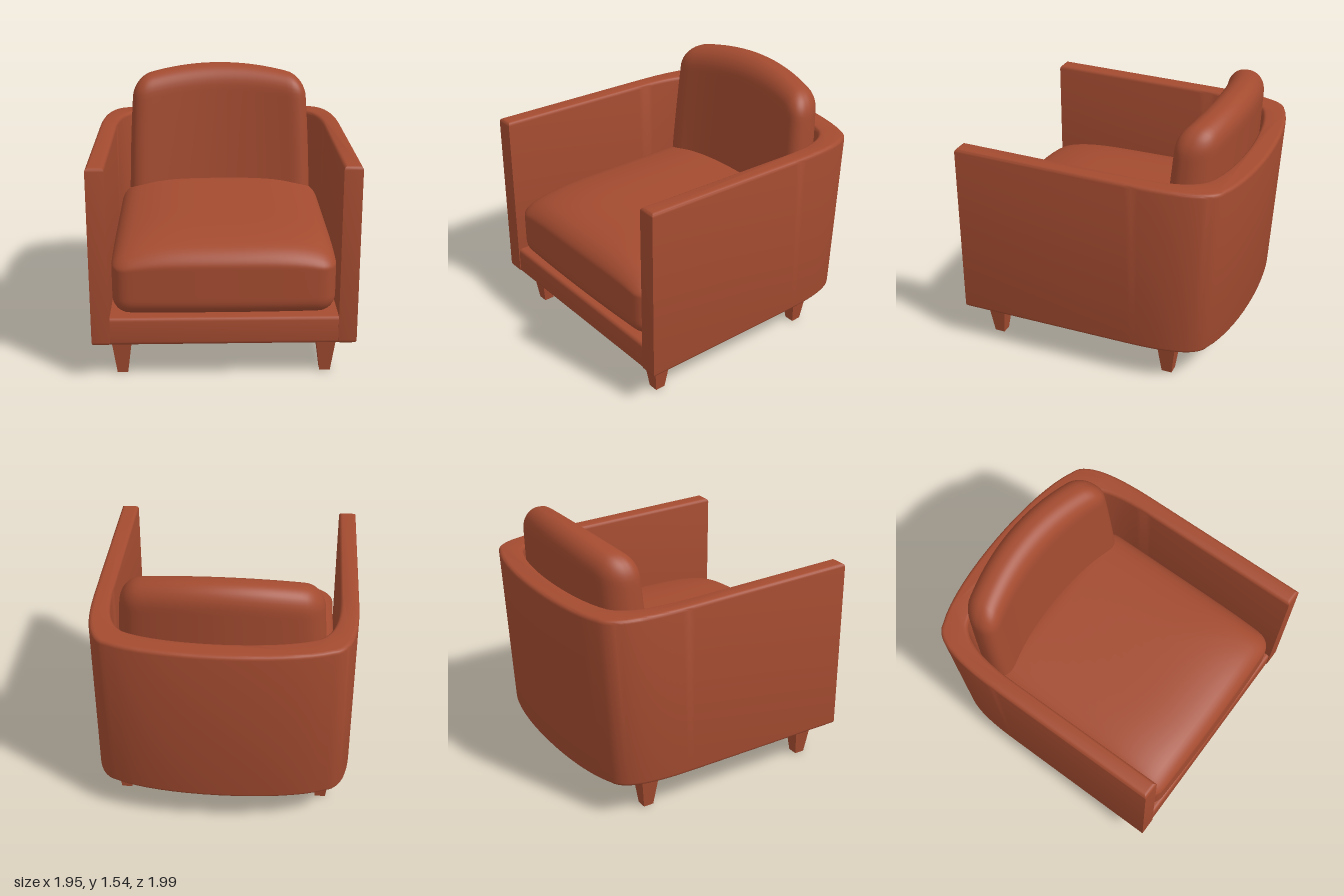
import * as THREE from 'three';
import { mergeVertices, toCreasedNormals } from 'three/addons/utils/BufferGeometryUtils.js';

const FLOOR = 0.22; // underside of the upholstered body

// Moves every vertex of a geometry by a rule
function deform(geometry, rule) {
  const p = geometry.attributes.position;
  const v = new THREE.Vector3();
  for (let i = 0; i < p.count; i++) {
    v.fromBufferAttribute(p, i);
    rule(v);
    p.setXYZ(i, v.x, v.y, v.z);
  }
  return geometry;
}

// Extrudes a plan outline (x, -z) upward with softened edges
function slab(shape, y0, y1, bevel) {
  const g = new THREE.ExtrudeGeometry(shape, {
    depth: y1 - y0 - 2 * bevel, bevelThickness: bevel, bevelSize: bevel,
    bevelOffset: -bevel, bevelSegments: 4, curveSegments: 16,
  });
  g.rotateX(-Math.PI / 2);
  g.translate(0, y0 + bevel, 0);
  return g;
}

// Backrest leans outward with height; the rim drops slightly to the rear
function leanBody(v) {
  const t = (v.y - FLOOR) / 1.02;
  const rear = THREE.MathUtils.clamp((-v.z - 0.3) / 0.5, 0, 1);
  if (v.y > 0.7) v.y += 0.016 * v.z / 0.7;
  v.z += 0.055 * (1 - t) * rear;
}

// Rounded cushion; rule receives the vertex plus its -1..1 coordinates
function cushion(w, h, d, r, rule) {
  let g = new THREE.BoxGeometry(2, 2, 2, 32, 32, 32);
  g.deleteAttribute('normal');
  g.deleteAttribute('uv');
  g = mergeVertices(g);
  const half = new THREE.Vector3(w / 2, h / 2, d / 2);
  const core = new THREE.Vector3();
  deform(g, (v) => {
    for (const a of ['x', 'y', 'z']) {
      v[a] = Math.sin(v[a] * Math.PI / 2) * half[a];
      core[a] = THREE.MathUtils.clamp(v[a], r - half[a], half[a] - r);
    }
    v.sub(core).normalize().multiplyScalar(r).add(core);
    rule(v, v.x / half.x, v.y / half.y, v.z / half.z);
  });
  g.computeVertexNormals();
  return g;
}

export function createModel() {
  const leather = new THREE.MeshStandardMaterial({ color: 0xa34b30 });
  leather.name = 'russet leather';

  const model = new THREE.Group();
  model.name = 'armchair';
  const chair = new THREE.Group();
  chair.name = 'turnedChair';
  chair.rotation.y = Math.PI / 6;
  chair.position.set(-0.013, 0, 0.006);
  model.add(chair);

  const add = (name, geometry) => {
    const m = new THREE.Mesh(geometry, leather);
    m.name = name;
    chair.add(m);
    return m;
  };

  // Arms and back: one wrapped wall
  const wall = new THREE.Shape();
  wall.moveTo(0.74, -0.71);
  wall.lineTo(0.74, 0.3);
  wall.bezierCurveTo(0.74, 0.5, 0.73, 0.78, 0.6, 0.81);
  wall.bezierCurveTo(0.35, 0.93, -0.35, 0.93, -0.6, 0.81);
  wall.bezierCurveTo(-0.73, 0.78, -0.74, 0.5, -0.74, 0.3);
  wall.lineTo(-0.74, -0.71);
  wall.lineTo(-0.637, -0.71);
  wall.lineTo(-0.637, 0.25);
  wall.bezierCurveTo(-0.637, 0.45, -0.62, 0.62, -0.52, 0.69);
  wall.bezierCurveTo(-0.3, 0.8, 0.3, 0.8, 0.52, 0.69);
  wall.bezierCurveTo(0.62, 0.62, 0.637, 0.45, 0.637, 0.25);
  wall.lineTo(0.637, -0.71);
  wall.closePath();
  add('armsAndBack', toCreasedNormals(deform(slab(wall, FLOOR, 1.24, 0.022), leanBody), 0.6));

  // Base panel under the seat
  const floor = new THREE.Shape();
  floor.moveTo(0.66, -0.705);
  floor.lineTo(0.66, 0.5);
  floor.lineTo(0.5, 0.72);
  floor.lineTo(-0.5, 0.72);
  floor.lineTo(-0.66, 0.5);
  floor.lineTo(-0.66, -0.705);
  floor.closePath();
  add('base', toCreasedNormals(slab(floor, FLOOR, 0.385, 0.022), 0.6));

  // Seat cushion: top falls away to the front and sides
  const seat = add('seatCushion', cushion(1.25, 0.44, 1.27, 0.1, (v, a, b, c) => {
    const top = Math.max(0, b);
    v.y -= top * (0.07 * a ** 4 + 0.08 * Math.max(0, c) ** 4);
    v.z += 0.015 * (1 - a * a) * Math.max(0, c);
  }));
  seat.position.set(0, 0.605, 0.06);

  // Back cushion: bowed to follow the wall, arched and narrowed at the top
  const back = add('backCushion', cushion(1.16, 0.96, 0.25, 0.115, (v, a, b) => {
    const up = (b + 1) / 2;
    v.x *= 1 - 0.07 * up * up;
    v.z *= 1 - 0.12 * up;
    v.z -= 0.09 * (1 - a * a) + 0.07 * v.y;
    v.y += 0.075 * (1 - a * a) * up;
  }));
  back.position.set(0, 0.985, -0.545);

  // Tapered square legs
  const legShape = new THREE.CylinderGeometry(0.12 / Math.SQRT2, 0.06 / Math.SQRT2, FLOOR + 0.01, 4);
  legShape.rotateY(Math.PI / 4);
  const legGeometry = toCreasedNormals(legShape, 0.3);
  for (const [end, z] of [['front', 0.565], ['back', -0.515]]) {
    for (const [side, x] of [['Left', 0.58], ['Right', -0.58]]) {
      add(`${end}${side}Leg`, legGeometry).position.set(x, (FLOOR + 0.01) / 2, z);
    }
  }
  return model;
}
